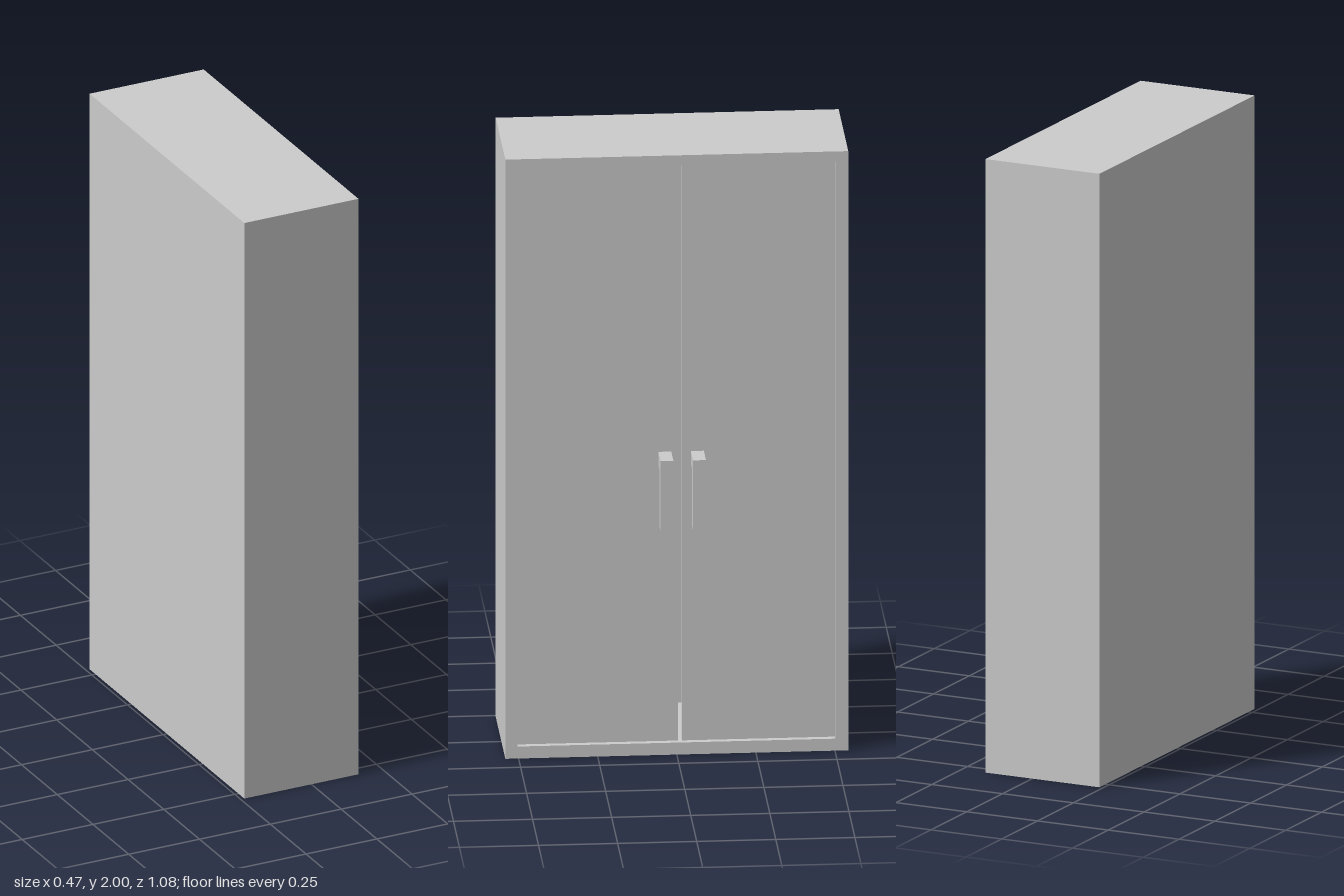
import * as THREE from 'three';

const material = new THREE.MeshStandardMaterial({ color: 0xcccccc, flatShading: true });

// Box given by its minimum and maximum corners
function box(name, [x0, y0, z0], [x1, y1, z1]) {
  const geometry = new THREE.BoxGeometry(x1 - x0, y1 - y0, z1 - z0);
  geometry.translate((x0 + x1) / 2, (y0 + y1) / 2, (z0 + z1) / 2);
  const mesh = new THREE.Mesh(geometry, material);
  mesh.name = name;
  return mesh;
}

function rectangle(path, x0, y0, x1, y1) {
  return path.moveTo(x0, y0).lineTo(x1, y0).lineTo(x1, y1).lineTo(x0, y1).closePath();
}

// Profile in the (-z, y) plane, extruded along +x from x0 to x1
function extrudeAlongX(shape, x0, x1) {
  const geometry = new THREE.ExtrudeGeometry(shape, { depth: x1 - x0, bevelEnabled: false });
  return geometry.rotateY(Math.PI / 2).translate(x0, 0, 0);
}

export function createModel() {
  const cabinet = new THREE.Group();
  cabinet.name = 'cabinet';

  const back = -0.237, rim = 0.166, doorFace = 0.146, halfWidth = 0.542;

  // Carcass: four walls around the door opening, closed by a back panel
  const outline = rectangle(new THREE.Shape(), -halfWidth, 0, halfWidth, 2);
  outline.holes.push(rectangle(new THREE.Path(), -0.503, 0.04, 0.501, 1.965));
  const carcass = new THREE.Mesh(extrudeAlongX(outline, back, rim), material);
  carcass.name = 'carcass';
  cabinet.add(carcass);
  cabinet.add(box('backPanel', [back, 0.04, -0.501], [back + 0.02, 1.965, 0.503]));

  // Two inset doors with a narrow gap, each with a hooked handle
  const sides = [
    { name: 'left', door: [-0.501, -0.018], handle: [-0.087, -0.046] },
    { name: 'right', door: [-0.005, 0.503], handle: [0.016, 0.057] },
  ];
  for (const { name, door, handle } of sides) {
    cabinet.add(box(name + 'Door', [doorFace - 0.02, 0.04, door[0]], [doorFace, 1.965, door[1]]));

    // L-shaped handle: short arm from the door, grip hanging down
    const hook = new THREE.Shape([
      [doorFace, 0.962], [0.196, 0.962], [0.196, 0.772],
      [0.236, 0.772], [0.236, 1.005], [doorFace, 1.005],
    ].map(([x, y]) => new THREE.Vector2(x, y)));
    const geometry = new THREE.ExtrudeGeometry(hook, { depth: handle[1] - handle[0], bevelEnabled: false });
    geometry.translate(0, 0, handle[0]);
    const mesh = new THREE.Mesh(geometry, material);
    mesh.name = name + 'Handle';
    cabinet.add(mesh);
  }

  return cabinet;
}
